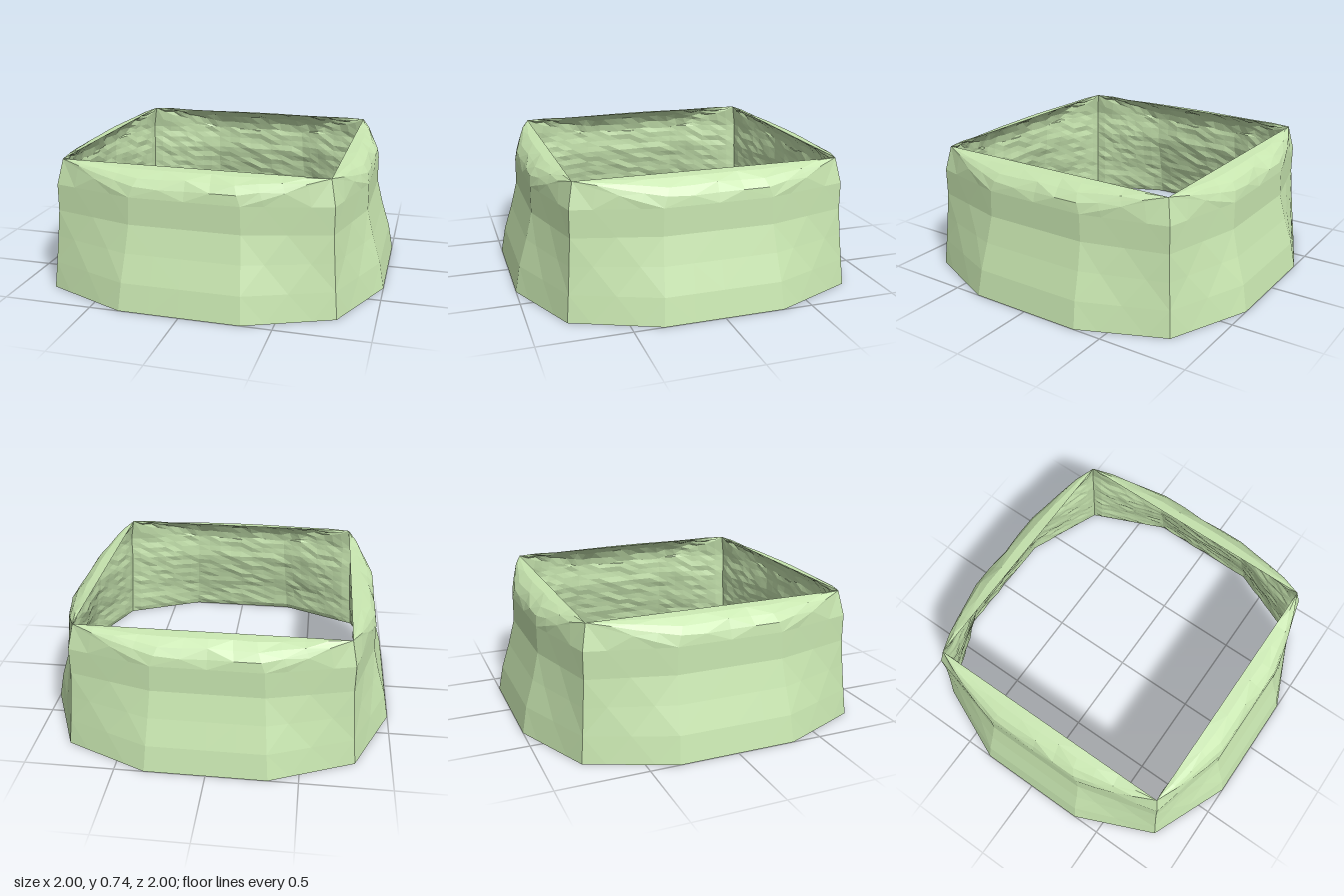
import * as THREE from 'three';

// Wall levels: height, corner half-width, bulged face distance, half-length of the flat middle
const LEVELS = [
  [0, 0.8, 1, 0.335],
  [0.15, 0.787, 0.972, 0.325],
  [0.3, 0.775, 0.925, 0.315],
  [0.45, 0.765, 0.887, 0.305],
  [0.6, 0.765, 0.885, 0.3],
];
const TOP = 0.74, RIM = 0.737;
const lerp = THREE.MathUtils.lerp;

// Repeatable noise in -1..1
function noise(i, j) {
  const s = Math.sin(i * 127.1 + j * 311.7) * 43758.5453;
  return 2 * (s - Math.floor(s)) - 1;
}

// Point across one side at a wall level: u = -1.5..1.5, flat middle for |u| < 0.5
function wallPoint(u, level) {
  const [y, corner, face, half] = level;
  const k = Math.max(0, Math.abs(u) - 0.5);
  const x = k > 0 ? Math.sign(u) * lerp(half, corner, k) : u * 2 * half;
  return new THREE.Vector3(x, y, lerp(face, corner, k));
}

// Lower edge of the domed cap, rising to the rim at both corners
function capEdge(u) {
  const k = Math.max(0, Math.abs(u) - 0.5);
  const p = wallPoint(u, [0, RIM, 0.885, 0.3]);
  p.y = lerp(0.6, TOP, k);
  p.z += 0.06 * k * (1 - k);
  return p;
}

// One side as a surface: v 0..4 wall, 4..5 corner gussets, 5..6 domed cap
function sidePoint(u, v) {
  if (v <= 4) {
    const i = Math.min(3, Math.floor(v));
    return wallPoint(u, LEVELS[i]).lerp(wallPoint(u, LEVELS[i + 1]), v - i);
  }
  const edge = capEdge(u);
  if (v <= 5) return wallPoint(u, LEVELS[4]).lerp(edge, v - 4);
  const a = (v - 5) * Math.PI / 2;
  return new THREE.Vector3(
    lerp(edge.x, u / 1.5 * RIM, Math.sin(a)),
    lerp(edge.y, TOP, Math.sin(a)),
    lerp(RIM, edge.z, Math.cos(a)));
}

// Grid over one side; inner faces look inwards
function sideGeometry(columns, rows, inner) {
  const positions = [], index = [];
  rows.forEach((v, j) => {
    for (let i = 0; i <= columns; i++) {
      const u = -1.5 + 3 * i / columns;
      const p = sidePoint(u, v);
      const border = i === 0 || i === columns || j === 0 || j === rows.length - 1;
      if (!border && inner) {
        const d = 0.011 + 0.006 * noise(i, j);
        p.z -= d;
        if (v > 4) p.y -= d;
      } else if (!border && v > 5) {
        p.z += 0.006 * noise(i, j);
        p.y += 0.004 * noise(j, i);
      }
      positions.push(p.x, p.y, p.z);
    }
  });
  for (let j = 0; j < rows.length - 1; j++) {
    for (let i = 0; i < columns; i++) {
      const a = j * (columns + 1) + i, b = a + 1, d = a + columns + 1, c = d + 1;
      if (inner) index.push(a, c, b, a, d, c);
      else if ((i + j) % 2) index.push(a, b, c, a, c, d);
      else index.push(a, b, d, b, c, d);
    }
  }
  const g = new THREE.BufferGeometry();
  g.setAttribute('position', new THREE.Float32BufferAttribute(positions, 3));
  g.setIndex(index);
  const flat = g.toNonIndexed();
  flat.computeVertexNormals();
  return flat;
}

export function createModel() {
  const model = new THREE.Group();
  const material = new THREE.MeshStandardMaterial({ color: 0xc8e6b0, flatShading: true });

  const outer = sideGeometry(12, [0, 1, 2, 3, 4, 5, 5.25, 5.5, 5.75, 6], false);
  const innerRows = [];
  for (let v = 0; v < 4; v += 0.25) innerRows.push(v);
  innerRows.push(4, 4.5, 5, 5.25, 5.5, 5.75, 6);
  const inner = sideGeometry(24, innerRows, true);

  // Four equal sides around the square opening
  ['front', 'left', 'back', 'right'].forEach((name, i) => {
    const side = new THREE.Group();
    side.name = name + 'Side';
    const shell = new THREE.Mesh(outer, material);
    shell.name = name + 'OuterWall';
    const lining = new THREE.Mesh(inner, material);
    lining.name = name + 'InnerWall';
    side.add(shell, lining);
    side.rotation.y = i * Math.PI / 2;
    model.add(side);
  });
  return model;
}
